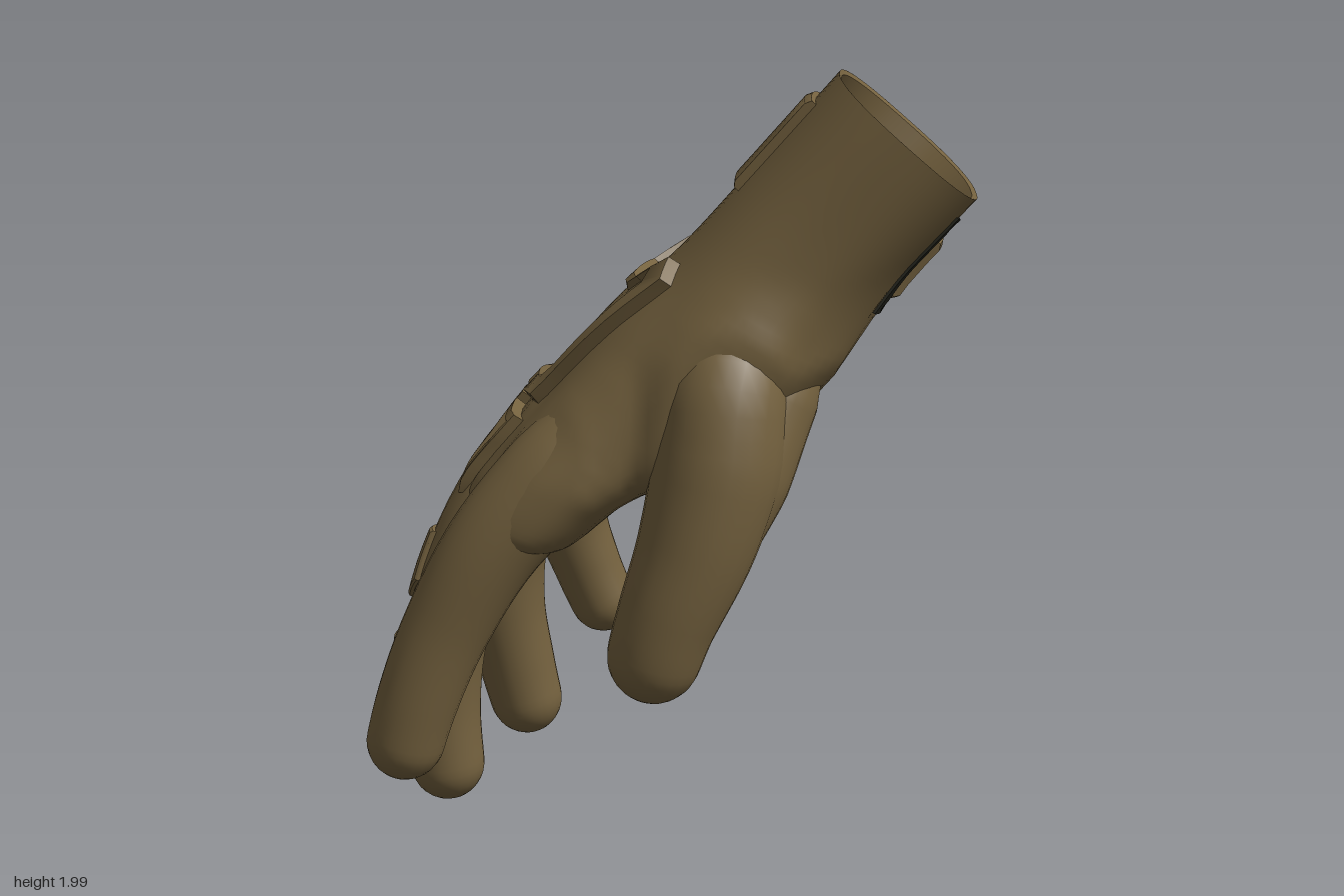
import * as THREE from 'three';
import { toCreasedNormals } from 'three/addons/utils/BufferGeometryUtils.js';

const V = (x, y, z) => new THREE.Vector3(x, y, z);
const rad = THREE.MathUtils.degToRad;
const { smoothstep, lerp, clamp } = THREE.MathUtils;

// Hand cross-sections from cuff to knuckles: [back x, y, palm x, y, +z edge, -z edge]
const RINGS = [
  [0.42, 2.0, 0.78, 1.69, 0.4, -0.41],
  [0.19, 1.74, 0.575, 1.465, 0.39, -0.42],
  [0.01, 1.54, 0.43, 1.3, 0.4, -0.44],
  [-0.18, 1.36, 0.29, 1.13, 0.41, -0.46],
  [-0.35, 1.16, 0.08, 0.98, 0.41, -0.48],
  [-0.46, 1.02, -0.12, 0.9, 0.42, -0.49],
  [-0.54, 0.89, -0.27, 0.79, 0.41, -0.48],
  [-0.46, 0.78, -0.46, 0.78, 0.35, -0.42],
];
const LAST = RINGS.length - 1;
const backEdge = new THREE.CatmullRomCurve3(RINGS.map((r) => V(r[0], r[1], r[4])));
const palmEdge = new THREE.CatmullRomCurve3(RINGS.map((r) => V(r[2], r[3], r[5])));

// Finger paths: [x, y, z, radius]
const DIGITS = {
  thumbBase: [[0.36, 1.43, 0.14, 0.07], [0.25, 1.21, 0.24, 0.14], [0.17, 1.0, 0.33, 0.145], [0.07, 0.78, 0.4, 0.12]],
  thumb: [[0.2, 1.45, 0.2, 0.1], [0.15, 1.23, 0.33, 0.16], [0.13, 1.04, 0.37, 0.17],
    [0.08, 0.84, 0.405, 0.152], [0.0, 0.63, 0.43, 0.128], [-0.06, 0.43, 0.42, 0.115]],
  indexFinger: [[-0.12, 1.14, 0.25, 0.12], [-0.28, 1.0, 0.295, 0.14], [-0.45, 0.81, 0.33, 0.126],
    [-0.58, 0.58, 0.34, 0.115], [-0.66, 0.38, 0.35, 0.108], [-0.72, 0.17, 0.35, 0.1]],
  middleFinger: [[-0.3, 1.06, 0.05, 0.11], [-0.44, 0.9, 0.06, 0.13], [-0.55, 0.72, 0.08, 0.115],
    [-0.62, 0.5, 0.09, 0.112], [-0.64, 0.28, 0.09, 0.105], [-0.62, 0.01, 0.09, 0.1]],
  ringFinger: [[-0.3, 1.05, -0.14, 0.11], [-0.42, 0.88, -0.17, 0.13], [-0.49, 0.7, -0.19, 0.115],
    [-0.51, 0.5, -0.21, 0.115], [-0.48, 0.3, -0.23, 0.108], [-0.43, 0.09, -0.24, 0.098]],
  littleFinger: [[-0.21, 1.07, -0.34, 0.1], [-0.32, 0.89, -0.4, 0.128], [-0.35, 0.7, -0.44, 0.108],
    [-0.3, 0.52, -0.465, 0.098], [-0.22, 0.33, -0.48, 0.092]],
};
const pathOf = (points) => new THREE.CatmullRomCurve3(points.map((p) => V(p[0], p[1], p[2])));
function radiusAt(points, k) {
  const w = k * (points.length - 1), i = Math.min(Math.floor(w), points.length - 2);
  return lerp(points[i][3], points[i + 1][3], w - i);
}
const steps = (n, f) => Array.from({ length: n + 1 }, (_, i) => f(i / n));
const balls = Object.values(DIGITS).flatMap((p) => {
  const path = pathOf(p);
  return steps(20, (k) => ({ centre: path.getPoint(k), r: radiusAt(p, k) }));
});

// Hand surface: t counts rings, angle 0 = back, 90 = -z side, 180 = palm
function hand(t, deg) {
  const k = clamp(t / LAST, 0, 1), n = 2.6;
  const d = backEdge.getPoint(k), p = palmEdge.getPoint(k);
  let c = Math.cos(rad(deg)), s = Math.sin(rad(deg));
  const r = (Math.abs(c) ** n + Math.abs(s) ** n) ** (-1 / n);
  c *= r;
  s *= r;
  const blend = 0.14 - 0.08 * c;
  // hollow of the palm
  if (c < 0) c *= 1 - 0.2 * Math.exp(-((t - 3.7) ** 2)) * Math.exp(-((s * 1.6) ** 2));
  const out = V((c * (d.x - p.x)) / 2, (c * (d.y - p.y)) / 2, (-s * (d.z - p.z)) / 2);
  const point = d.add(p).multiplyScalar(0.5).add(out);
  // knuckle line falls back towards the little finger
  const fall = 0.5 * Math.max(0, -point.z - 0.25) * smoothstep(t, 4, 6);
  point.add(V(0.65 * fall, 0.76 * fall, 0));
  // swell where fingers join, softer on the palm side
  const gap = Math.min(...balls.map((b) => b.centre.distanceTo(point) - b.r));
  const near = clamp(blend - Math.max(gap, 0), 0, blend);
  const swell = (near * near) / (4 * blend) * (1 - smoothstep(t, 5.8, 6.8));
  return point.addScaledVector(out.normalize(), swell);
}

// Finger surface, rounded at the tip
function finger(points) {
  const curve = pathOf(points), length = curve.getLength();
  return (u, deg) => {
    let r = radiusAt(points, curve.getUtoTmapping(u));
    const left = (1 - u) * length;
    if (left < r) r *= Math.sqrt(Math.max(0, 1 - (1 - left / r) ** 2));
    const tangent = curve.getTangentAt(u);
    const back = tangent.clone().cross(V(0, 0, 1)).normalize();
    const side = tangent.clone().cross(back);
    return curve.getPointAt(u).addScaledVector(back, r * Math.cos(rad(deg)))
      .addScaledVector(side, r * Math.sin(rad(deg)));
  };
}

// Point raised from a surface by h along its normal
function raised(surface, t, deg, h) {
  const e = 0.01;
  const dt = surface(t + e, deg).sub(surface(Math.max(t - e, 0), deg));
  const da = surface(t, deg + 1).sub(surface(t, deg - 1));
  return surface(t, deg).addScaledVector(da.cross(dt).normalize(), h);
}

function geometryFrom(points, index) {
  const g = new THREE.BufferGeometry().setFromPoints(points);
  g.setIndex(index);
  g.computeVertexNormals();
  return g;
}

// Tube of rows over a surface
function tube(surface, stops, sides, flip = false) {
  const points = [], index = [];
  stops.forEach((t, i) => {
    for (let j = 0; j < sides; j++) {
      points.push(surface(t, (j * 360) / sides));
      if (!i) continue;
      const k = (j + 1) % sides, a = (i - 1) * sides + j, b = (i - 1) * sides + k;
      const c = i * sides + j, d = i * sides + k;
      index.push(...(flip ? [a, c, b, b, c, d] : [a, b, c, b, d, c]));
    }
  });
  return geometryFrom(points, index);
}

// Shaped plate lying on a surface: outline in (t, angle), profile of [scale, height]
function plate(surface, outline, profile) {
  const loop = [];
  outline.forEach((p, i) => {
    const q = outline[(i + 1) % outline.length];
    for (let k = 0; k < 8; k++) loop.push([lerp(p[0], q[0], k / 8), lerp(p[1], q[1], k / 8)]);
  });
  const area = loop.reduce((sum, p, i) => {
    const q = loop[(i + 1) % loop.length];
    return sum + p[1] * q[0] - q[1] * p[0];
  }, 0);
  if (area < 0) loop.reverse();
  const mid = [0, 1].map((k) => {
    const v = outline.map((p) => p[k]);
    return (Math.min(...v) + Math.max(...v)) / 2;
  });
  const points = [], index = [], n = loop.length;
  profile.forEach(([scale, h], i) => {
    loop.forEach((p, j) => {
      points.push(raised(surface, lerp(mid[0], p[0], scale), lerp(mid[1], p[1], scale), h));
      if (!i) return;
      const k = (j + 1) % n, a = (i - 1) * n, b = i * n;
      index.push(a + j, a + k, b + j, a + k, b + k, b + j);
    });
  });
  return toCreasedNormals(geometryFrom(points, index), 0.6);
}

// Bevelled band round the hand through stations of [angle, upper t, lower t]
function band(stations, h) {
  const rows = [[...stations[0], 0]];
  stations.slice(1).forEach((q, i) => {
    const p = stations[i], n = Math.ceil((q[0] - p[0]) / 4);
    for (let k = i ? 1 : 0; k <= n; k++) rows.push([...p.map((v, m) => lerp(v, q[m], k / n)), 1]);
  });
  rows.push([...stations.at(-1), 0]);
  const points = [], index = [], w = 8;
  rows.forEach(([deg, t0, t1, up], i) => {
    const m = (t0 + t1) / 2, e = 0.05;
    [[t0, -0.02], [t0, h * 0.6], [t0 + e, h], [lerp(t0, m, 0.6), h], [lerp(t1, m, 0.6), h],
      [t1 - e, h], [t1, h * 0.6], [t1, -0.02]].forEach(([t, y], j) => {
      points.push(raised(hand, t, deg, up ? y : -0.02));
      if (!i || !j) return;
      const a = (i - 1) * w + j - 1, b = i * w + j - 1;
      index.push(a, b, a + 1, b, b + 1, a + 1);
    });
  });
  return toCreasedNormals(geometryFrom(points, index), 0.6);
}

const flat = (h) => [[1, -0.02], [1, h * 0.6], [0.93, h], [0.7, h], [0.45, h], [0.2, h], [0, h]];
const framed = (h) => [[1, -0.02], [0.96, h], [0.77, h], [0.69, h * 0.4], [0.45, h * 0.4], [0.2, h * 0.4], [0, h * 0.4]];
const thin = (h) => [[1, 0], [1, h], [0.7, h], [0.4, h], [0, h]];
const box = (t0, t1, a0, a1) => [[t0, a0], [t1, a0], [t1, a1], [t0, a1]];

export function createModel() {
  const model = new THREE.Group();
  model.name = 'glove';
  const fabric = new THREE.MeshStandardMaterial({ color: 0x75623f, side: THREE.DoubleSide });
  fabric.name = 'brown fabric';
  const fastener = new THREE.MeshStandardMaterial({ color: 0x25251d, side: THREE.DoubleSide });
  fastener.name = 'dark fastener';
  const add = (name, geometry, material = fabric) => {
    const mesh = new THREE.Mesh(geometry, material);
    mesh.name = name;
    model.add(mesh);
  };

  // Hand and the short turned-in hem of the cuff
  add('hand', tube(hand, steps(56, (k) => k * LAST), 64));
  const hem = (t, deg) => hand(t, deg).lerp(hand(t, 0).add(hand(t, 180)).multiplyScalar(0.5),
    0.05 * Math.min(1, t / 0.02) + 0.18 * t);
  add('cuffHem', toCreasedNormals(tube(hem, [0, 0.02, 0.25, 0.5, 0.75], 48, true), 0.8));

  // Fingers, with guards on the two middle ones
  for (const [name, path] of Object.entries(DIGITS)) {
    const surface = finger(path);
    add(name, tube(surface, steps(32, (k) => 1 - (1 - k) ** 1.7), 24));
    if (!/middle|ring/.test(name)) continue;
    add(name + 'UpperGuard', plate(surface, [[0.36, -22], [0.47, -26], [0.52, 0], [0.47, 26], [0.36, 22]], flat(0.014)));
    add(name + 'LowerGuard', plate(surface, [[0.6, -24], [0.74, -28], [0.79, 0], [0.74, 28], [0.6, 24]], flat(0.03)));
  }

  // Armour on the back of the hand with a sunken panel and winged top corners
  add('backPlate', plate(hand, [[2.0, -30], [2.2, -40], [4.1, -24], [4.3, 0], [4.35, 45], [4.1, 61],
    [2.6, 63], [2.05, 42], [2.45, 32], [2.55, 5], [2.45, -17]], framed(0.033)));

  // Knuckle guards
  [[-24, -3, 6], [8, 27, 6], [43, 62, 5.3]].forEach(([a, b, end], i) => {
    add('knuckleGuard' + (i + 1), plate(hand, [[4.4, a], [4.4, b], [end, b - 3], [end, a + 3]], framed(0.03)));
  });

  // Wrist strap: wide back pad, band round the outer side, palm flap over the fastener
  add('wristStrap', band([[-18, 0.26, 1.15], [18, 0.26, 1.15], [25, 0.26, 1.05], [34, 0.26, 0.84], [90, 0.26, 0.85],
    [118, 0.3, 0.95], [140, 0.4, 1.13], [190, 0.45, 1.18], [196, 0.48, 1.12]], 0.024));
  add('fastenerPatch', plate(hand, [[0.2, 211], [1.34, 211], [1.34, 197], [1.12, 195], [1.1, 160],
    [1.38, 154], [1.38, 137], [0.3, 138]], thin(0.007)), fastener);

  // Inner faces of the strap and fastener
  add('fastenerInside', plate(hand, box(1.05, 1.42, 194, 212), thin(-0.008)), fastener);
  add('strapFlapInside', plate(hand, box(0.85, 1.35, 152, 193), thin(-0.009)));
  add('strapPadInside', plate(hand, box(0.5, 1.15, -14, 28), thin(-0.009)));

  return model;
}
